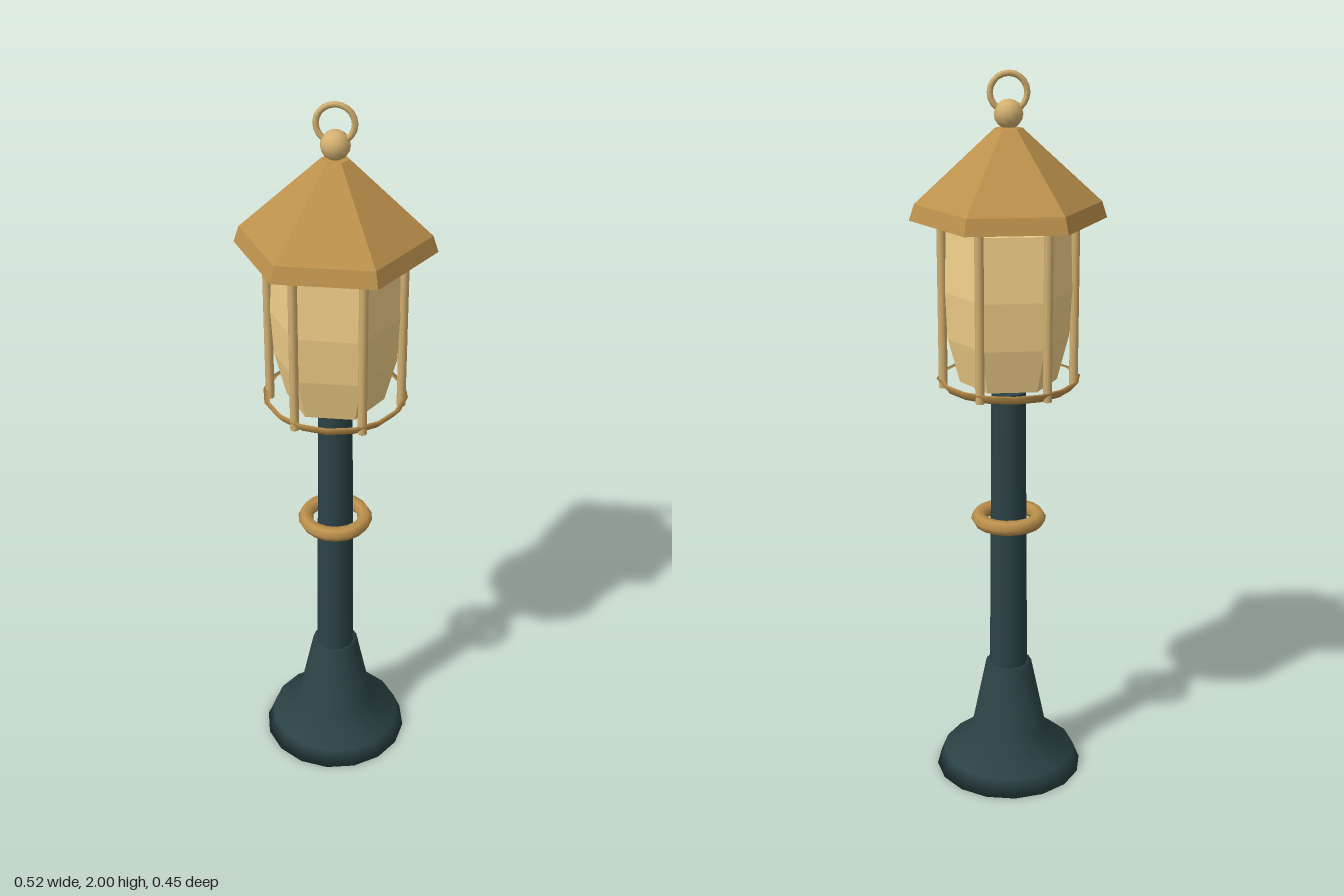
import * as THREE from 'three';

const material = (color, flatShading = false) => new THREE.MeshStandardMaterial({ color, flatShading });

export function createModel() {
  const group = new THREE.Group();
  const iron = material(0x2c4245);
  const bronze = material(0xbd914c);
  const roofBronze = material(0xbd914c, true);
  const brass = material(0xd2b070);
  const glass = material(0xf0ce88, true);

  const add = (name, geometry, mat, x = 0, y = 0, z = 0) => {
    const mesh = new THREE.Mesh(geometry, mat);
    mesh.name = name;
    mesh.position.set(x, y, z);
    group.add(mesh);
    return mesh;
  };
  // Profiles run bottom to top as [radius, height]; corners start on the x axis
  const lathe = (points, sides) => new THREE.LatheGeometry(
    points.map(([r, y]) => new THREE.Vector2(r, y)), sides, Math.PI / 2);

  // Flared foot with closed underside
  add('base', lathe([[0, 0], [0.21, 0], [0.19, 0.05], [0.11, 0.115], [0.066, 0.33], [0.05, 0.33]], 16), iron);

  // Slightly tapered post and its collar
  add('pole', new THREE.CylinderGeometry(0.047, 0.054, 0.83, 12), iron, 0, 0.735, 0);
  add('poleCollar', new THREE.TorusGeometry(0.084, 0.021, 6, 18), bronze, 0, 0.78, 0)
    .rotation.x = Math.PI / 2;

  // Shallow dish with a narrow lip
  add('lanternDish', lathe([[0.045, 1.13], [0.06, 1.13], [0.175, 1.167], [0.195, 1.19], [0.18, 1.19]], 16), bronze);

  // Six-sided bulging glass
  add('lanternGlass', lathe([[0, 1.18], [0.132, 1.18], [0.163, 1.3], [0.175, 1.43], [0.165, 1.6], [0, 1.6]], 6), glass);

  // Bars at the six corners
  for (let i = 0; i < 6; i++) {
    const a = i * Math.PI / 3;
    add('lanternBar', new THREE.CylinderGeometry(0.012, 0.012, 0.46, 8), brass,
      0.177 * Math.cos(a), 1.395, 0.177 * Math.sin(a));
  }

  // Six-sided roof with eave and closed underside
  add('roof', lathe([[0, 1.62], [0.26, 1.62], [0.246, 1.663], [0.036, 1.855], [0, 1.86]], 6), roofBronze);

  // Ball and hanging ring
  add('finialBall', new THREE.SphereGeometry(0.038, 12, 8), brass, 0, 1.89, 0);
  add('finialRing', new THREE.TorusGeometry(0.048, 0.008, 6, 20), brass, 0, 1.944, 0);

  return group;
}
